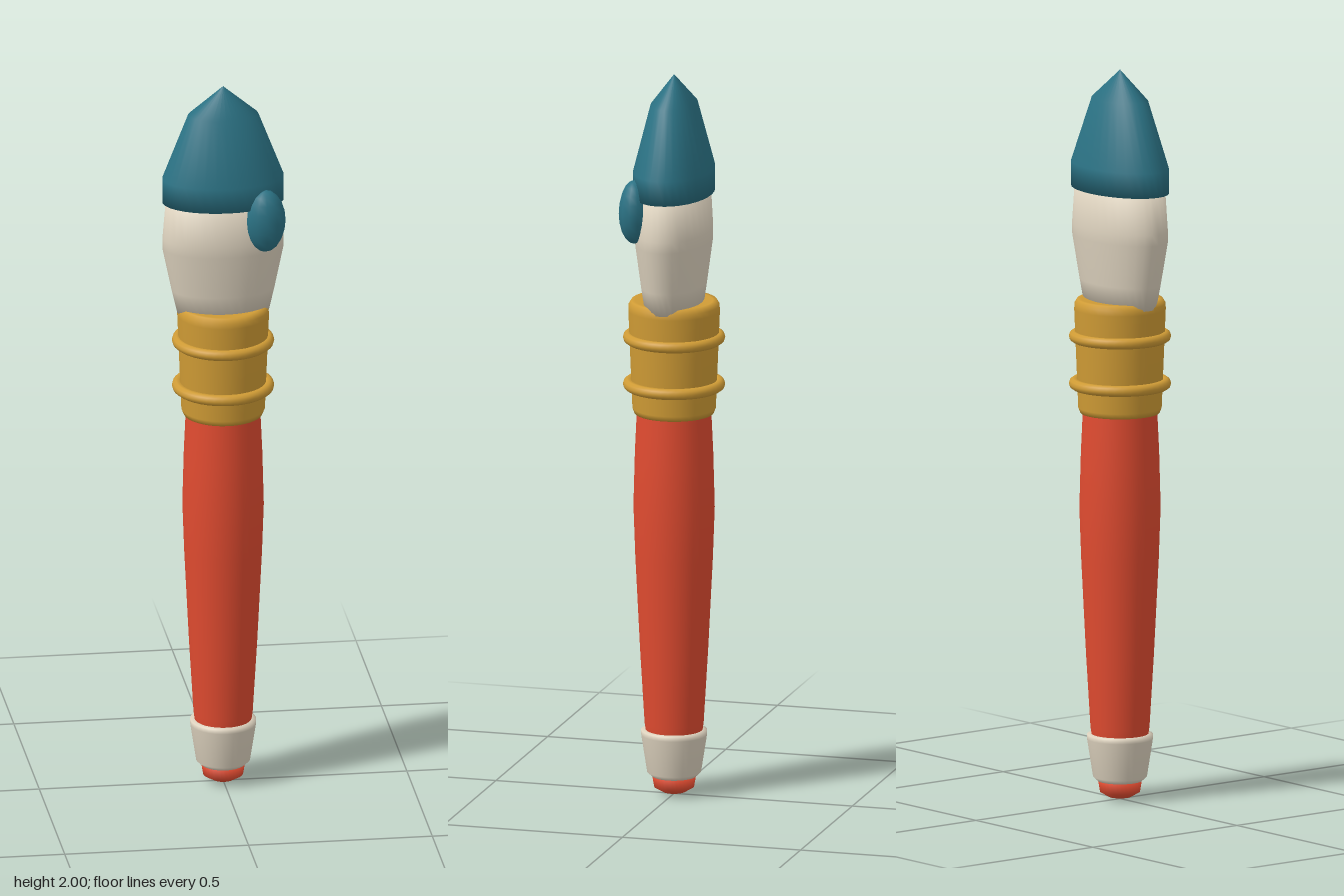
import * as THREE from 'three';

const material = (name, color) => {
  const m = new THREE.MeshStandardMaterial({ color });
  m.name = name;
  return m;
};

export function createModel() {
  const red = material('red lacquer', 0xe04b30);
  const cream = material('cream', 0xddd2be);
  const gold = material('gold', 0xcf9b35);
  const teal = material('teal paint', 0x2b7284);

  const group = new THREE.Group();
  group.name = 'paintbrush';

  const add = (name, geometry, mat) => {
    const mesh = new THREE.Mesh(geometry, mat);
    mesh.name = name;
    group.add(mesh);
    return mesh;
  };

  // Turned part from [radius, height] pairs, bottom to top; depth flattens it along z
  const turned = (name, profile, mat, depth = 1, segments = 32) => {
    const points = profile.map(([r, y]) => new THREE.Vector2(r, y));
    const geometry = new THREE.LatheGeometry(points, segments);
    geometry.scale(1, 1, depth);
    geometry.computeBoundingSphere();
    return add(name, geometry, mat);
  };

  // Handle, end cap and the knob beneath it
  turned('endKnob', [[0, 0], [0.03, 0.006], [0.054, 0.02], [0.06, 0.055], [0, 0.06]], red);
  turned('endCap', [[0, 0.05], [0.06, 0.05], [0.073, 0.062], [0.089, 0.165], [0.089, 0.178], [0.075, 0.18], [0, 0.18]], cream);
  turned('handle', [[0.075, 0.165], [0.08, 0.2], [0.092, 0.4], [0.105, 0.66], [0.11, 0.8], [0.106, 0.95], [0.1, 1.08]], red);

  // Metal ferrule with two raised rings
  turned('ferrule', [[0, 1.06], [0.107, 1.06], [0.113, 1.075], [0.124, 1.345], [0.123, 1.36], [0.116, 1.372], [0.105, 1.372], [0, 1.365]], gold);
  for (const y of [1.14, 1.27]) {
    const ring = add('ferruleRing', new THREE.TorusGeometry(0.123, 0.015, 10, 40), gold);
    ring.rotation.x = Math.PI / 2;
    ring.position.y = y;
  }

  // Flattened bristles and the paint-soaked tip
  turned('bristles', [[0, 1.355], [0.125, 1.355], [0.14, 1.42], [0.165, 1.54], [0.165, 1.57], [0.155, 1.69], [0, 1.69]], cream, 0.6);
  turned('paintTip', [[0, 1.672], [0.165, 1.672], [0.165, 1.74], [0.095, 1.92], [0, 2]], teal, 0.635);

  // Drip of paint on the front
  const drip = add('paintDrip', new THREE.SphereGeometry(1, 12, 10), teal);
  drip.scale.set(0.055, 0.088, 0.043);
  drip.position.set(0.104, 1.637, 0.08);

  return group;
}
